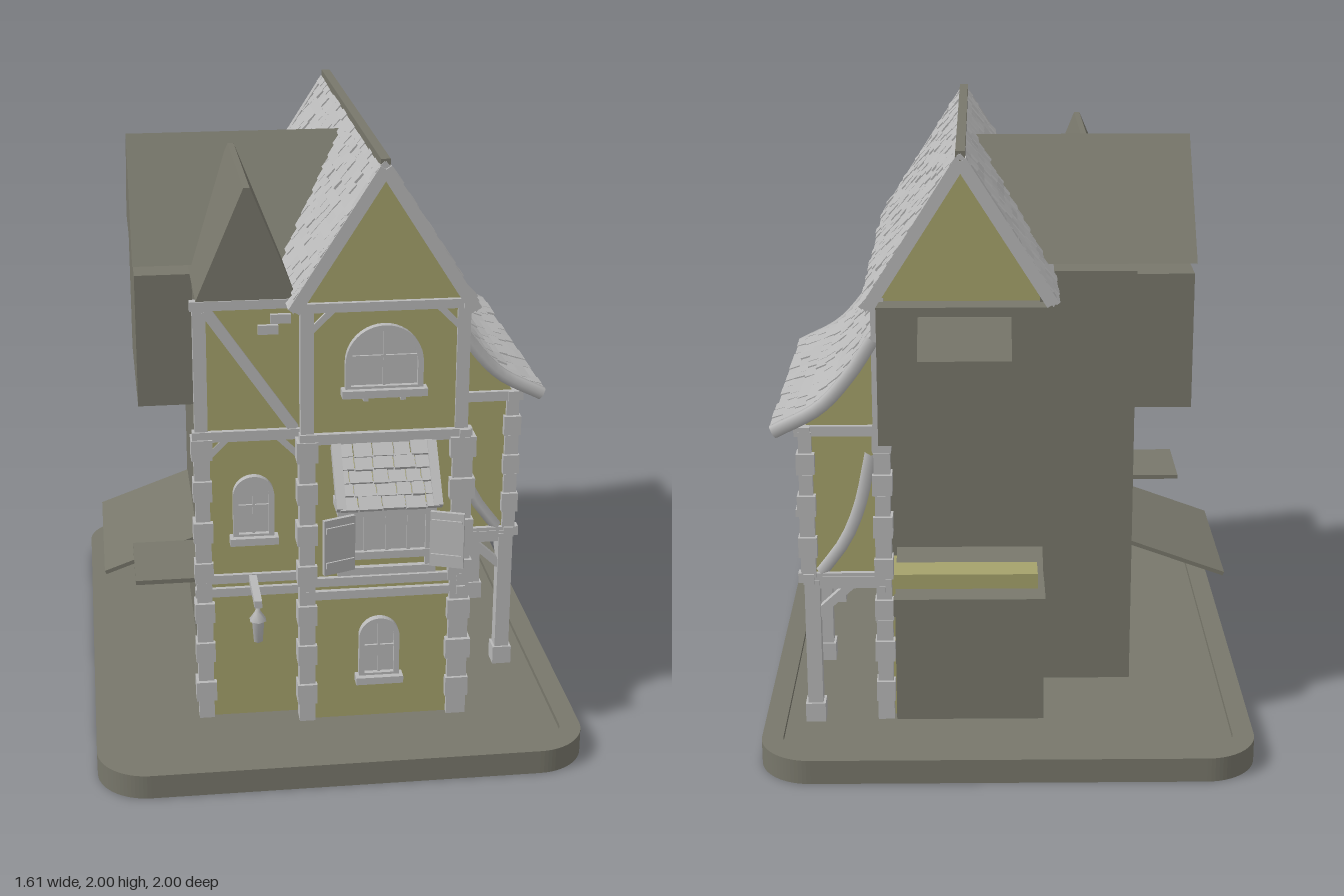
import * as THREE from 'three';
import { mergeGeometries } from 'three/addons/utils/BufferGeometryUtils.js';

export function createModel() {
  const root = new THREE.Group();
  root.name = 'timberHouse';
  const material = (name, color) => {
    const m = new THREE.MeshStandardMaterial({ color });
    m.name = name;
    return m;
  };
  const plaster = material('yellow plaster', 0xa5a26b);
  const trim = material('light grey trim', 0xb8b8b8);
  const dark = material('dark olive grey', 0x78776b);

  let seed = 7;
  const rand = (a = 0, b = 1) => {
    seed = (seed * 16807) % 2147483647;
    return a + (b - a) * (seed / 2147483647);
  };

  const add = (name, geo, mat, parent = root) => {
    const m = new THREE.Mesh(geo, mat);
    m.name = name;
    parent.add(m);
    return m;
  };
  const boxGeo = (x0, x1, y0, y1, z0, z1) =>
    new THREE.BoxGeometry(x1 - x0, y1 - y0, z1 - z0).translate((x0 + x1) / 2, (y0 + y1) / 2, (z0 + z1) / 2);
  const box = (name, mat, ...r) => add(name, boxGeo(...r), mat);
  const polygon = (pts) => new THREE.Shape(pts.map((p) => new THREE.Vector2(...p)));
  const extrude = (shape, depth) => new THREE.ExtrudeGeometry(shape, { depth, bevelEnabled: false, curveSegments: 10 });
  // Section in x,y run along z
  const prismZ = (name, mat, pts, z0, z1) => add(name, extrude(polygon(pts), z1 - z0).translate(0, 0, z0), mat);
  // Section in z,y run along x
  const prismX = (name, mat, pts, x0, x1) =>
    add(name, extrude(polygon(pts), x1 - x0).rotateY(-Math.PI / 2).translate(x1, 0, 0), mat);
  // Square timber between two points
  const beam = (name, a, b, w = 0.035, mat = trim) => {
    const A = new THREE.Vector3(...a), B = new THREE.Vector3(...b);
    const m = add(name, new THREE.BoxGeometry(w, w, A.distanceTo(B)), mat);
    m.position.copy(A).add(B).multiplyScalar(0.5);
    m.lookAt(B);
    return m;
  };
  // Corner of uneven stacked stones
  const quoins = (name, x, z, y0, y1, w = 0.055) => {
    const parts = [], n = Math.round((y1 - y0) / 0.075), h = (y1 - y0) / n;
    for (let i = 0; i < n; i++) {
      const a = (w + (i % 2 ? 0.01 : -0.004) + rand(-0.004, 0.004)) / 2;
      parts.push(boxGeo(x - a, x + a, y0 + i * h, y0 + (i + 0.96) * h, z - a, z + a));
    }
    add(name, mergeGeometries(parts), trim);
  };
  // Rows of uneven shingles along z, following a descending x,y path
  const shingles = (points, rows, z0, z1, tile) => {
    const path = new THREE.SplineCurve(points.map((p) => new THREE.Vector2(...p)));
    const parts = [], len = path.getLength() / rows;
    for (let r = 0; r < rows; r++) {
      const p = path.getPointAt((r + 0.5) / rows), t = path.getTangentAt((r + 0.5) / rows);
      const side = Math.sign(t.x);
      for (let z = z0; z < z1 - 0.005;) {
        let e = Math.min(z + tile * rand(0.7, 1.3), z1);
        if (z1 - e < tile * 0.3) e = z1;
        const lift = rand(-0.003, 0.004);
        parts.push(new THREE.BoxGeometry(len * rand(1.1, 1.3), 0.014, e - z - 0.004)
          .rotateZ(Math.atan2(t.y, t.x) + side * rand(0.1, 0.2))
          .translate(p.x - t.y * side * lift, p.y + t.x * side * lift, (z + e) / 2));
        z = e;
      }
    }
    return mergeGeometries(parts);
  };

  // Base plate with raised rim
  const rounded = (x, z, r, P) => {
    const s = new P();
    s.moveTo(x, -z + r);
    [[x - r, z - r, 0], [-x + r, z - r, 1], [-x + r, -z + r, 2], [x - r, -z + r, 3]].forEach(([cx, cy, q]) =>
      s.absarc(cx, cy, r, q * Math.PI / 2, (q + 1) * Math.PI / 2));
    return s;
  };
  add('basePlate', extrude(rounded(0.805, 1, 0.17, THREE.Shape), 0.065).rotateX(-Math.PI / 2), dark);
  const rim = rounded(0.805, 1, 0.17, THREE.Shape);
  rim.holes.push(rounded(0.735, 0.93, 0.1, THREE.Path));
  add('baseRim', extrude(rim, 0.02).rotateX(-Math.PI / 2).translate(0, 0.062, 0), dark);

  // Plaster walls of the main block and front bay
  box('groundFloorWall', plaster, -0.1, 0.42, 0.06, 0.57, -0.64, 0.67);
  box('middleFloorWall', plaster, -0.1, 0.42, 0.57, 1.07, -0.45, 0.67);
  box('upperFloorWall', plaster, -0.1, 0.42, 1.07, 1.53, -0.68, 0.67);
  prismZ('gableWall', plaster, [[-0.1, 1.53], [0.42, 1.53], [0.145, 1.96]], -0.72, 0.67);
  box('bayFrontWall', plaster, -0.43, -0.1, 0.06, 1.53, 0.58, 0.61);
  prismZ('sideRoomWall', plaster,
    [[0.41, 0.57], [0.655, 0.57], [0.655, 1.09], [0.59, 1.15], [0.5, 1.26], [0.42, 1.38]], -0.66, 0.335);

  // Plain dark masses at the left and back
  box('bayCore', dark, -0.43, -0.11, 0.06, 1.53, -0.37, 0.58);
  box('leftUpperRoom', dark, -0.62, -0.11, 1.06, 1.52, -0.37, 0.25);
  box('upperLeftWall', dark, -0.12, -0.1, 1.06, 1.53, -0.7, -0.3);
  box('upperBackRoom', dark, -0.12, 0.41, 1.06, 1.51, -0.765, -0.67);
  box('middleBackWall', dark, -0.12, 0.41, 0.5, 1.06, -0.47, -0.44);
  box('lowerLeftWall', dark, -0.12, -0.1, 0.06, 1.06, -0.47, -0.3);
  prismX('backShed', dark, [[-0.68, 0.06], [-0.4, 0.06], [-0.4, 0.62], [-0.47, 0.6], [-0.68, 0.5]], -0.12, 0.37);
  box('shedLid', dark, -0.125, 0.375, 0.44, 0.5, -0.685, -0.5);
  prismX('backOriel', dark, [[-0.88, 1.13], [-0.7, 1.13], [-0.7, 1.48], [-0.77, 1.48], [-0.88, 1.37]], -0.01, 0.28);
  prismX('leftRoof', dark, [[-0.395, 1.56], [0.28, 1.56], [-0.05, 1.93]], -0.625, 0.1);
  prismZ('bayRoof', dark, [[-0.44, 1.54], [-0.12, 1.54], [-0.265, 1.9], [-0.285, 1.9]], 0, 0.62);
  box('flatAwning', dark, -0.655, -0.42, 0.563, 0.578, 0.3, 0.6);
  prismZ('slopedAwning', dark, [[-0.75, 0.44], [-0.42, 0.56], [-0.42, 0.575], [-0.755, 0.453]], -0.35, 0.25);

  // Main roof: boards, shingles, barge boards
  [[0.45, 1.51, 'right'], [-0.15, 1.525, 'left']].forEach(([x, y, side]) => {
    const line = [[0.145, 1.982], [x, y]];
    const board = side === 'right'
      ? [[0.145, 1.95], [x - 0.01, y - 0.015], [x, y], [0.145, 1.98]]
      : [[0.145, 1.98], [x, y], [x + 0.01, y - 0.015], [0.145, 1.95]];
    prismZ(side + 'RoofBoards', trim, board, -0.765, 0.69);
    add(side + 'RoofShingles', shingles(line, 14, -0.77, 0.695, 0.085), trim);
    for (const z of [0.68, -0.75]) beam('bargeBoard', [0.145, 1.965, z], [x - Math.sign(x) * 0.012, y - 0.005, z], 0.04);
  });
  box('ridgeStrip', dark, 0.13, 0.16, 1.96, 1.996, -0.765, 0.69);

  // Curved lean-to roof
  const sweep = [[0.425, 1.4], [0.5, 1.285], [0.6, 1.175], [0.75, 1.095]];
  add('leanToShingles', shingles(sweep, 11, -0.68, 0.34, 0.085), trim);
  const curve = new THREE.CatmullRomCurve3(sweep.map(([x, y]) => new THREE.Vector3(x, y - 0.012, 0)));
  for (const z of [-0.685, 0.345])
    add('leanToEdge', new THREE.TubeGeometry(curve, 12, 0.024, 6), trim).position.z = z;
  const lower = sweep.map(([x, y]) => [x, y - 0.022]).reverse();
  prismZ('leanToBoards', trim, [...sweep.map(([x, y]) => [x, y - 0.005]), ...lower].reverse(), -0.68, 0.34);

  // Stone corners and timber posts
  quoins('bayCorner', -0.43, 0.6, 0.06, 1.08);
  quoins('frontLeftPier', -0.095, 0.66, 0.06, 1.08);
  quoins('frontRightPier', 0.41, 0.66, 0.06, 1.08, 0.07);
  quoins('groundSidePier', 0.415, 0.35, 0.06, 0.55);
  quoins('groundBackPier', 0.405, -0.65, 0.06, 1.08);
  for (const z of [0.33, -0.66]) quoins('sideRoomCorner', 0.65, z, 0.58, 1.08, 0.05);
  for (const [x, z] of [[-0.43, 0.6], [-0.095, 0.66], [0.405, 0.66], [0.41, 0.35], [0.41, -0.67]])
    beam('upperPost', [x, 1.08, z], [x, 1.53, z], 0.042);
  beam('shortPost', [0.41, 1.38, -0.29], [0.41, 1.53, -0.29]);
  for (const z of [0.03, -0.27]) beam('sideRoomPost', [0.645, 0.58, z], [0.645, 1.08, z], 0.045);
  for (const z of [0.1, -0.38]) beam('groundPost', [0.41, 0.06, z], [0.41, 0.5, z]);

  // Arcade posts with knee braces
  for (const z of [0.335, -0.185, -0.66]) {
    beam('arcadePost', [0.64, 0.06, z], [0.64, 0.57, z], 0.05);
    box('postFoot', trim, 0.607, 0.673, 0.06, 0.13, z - 0.033, z + 0.033);
    for (const s of [1, -1]) {
      if (Math.abs(z + s * 0.16) > 0.6 || (s > 0 && z > 0)) continue;
      beam('kneeBrace', [0.64, 0.42, z + s * 0.02], [0.64, 0.56, z + s * 0.15], 0.03);
    }
    beam('floorJoist', [0.42, 0.56, z], [0.66, 0.56, z], 0.04);
    beam('crossBrace', [0.63, 0.44, z], [0.5, 0.56, z], 0.028);
  }

  // Horizontal rails on every storey
  for (const [y, w] of [[0.53, 0.03], [0.578, 0.03], [1.085, 0.035], [1.525, 0.03]]) {
    beam('bayRail', [-0.46, y, 0.61], [-0.1, y, 0.61], w);
    beam('frontRail', [-0.12, y, 0.672], [0.44, y, 0.672], w);
    beam('sideRail', [0.415, y, 0.7], [0.415, y, -0.68], w);
  }
  for (const y of [0.575, 1.08]) {
    beam('sideRoomRail', [0.65, y, 0.36], [0.65, y, -0.69], 0.035);
    for (const z of [0.335, -0.66]) beam('sideRoomEndRail', [0.42, y, z], [0.685, y, z], 0.034);
  }
  beam('sideSill', [0.41, 0.085, 0.68], [0.41, 0.085, -0.66], 0.03);

  // Diagonal and curved braces
  beam('bayBrace', [-0.41, 1.51, 0.605], [-0.13, 1.1, 0.605]);
  beam('sideBrace', [0.412, 1.1, 0.63], [0.412, 1.51, 0.37]);
  for (const [x, y, s] of [[-0.08, 1.52, 1], [0.39, 1.52, -1]])
    beam('frontKnee', [x, y - 0.07, 0.67], [x + s * 0.07, y, 0.67], 0.02);
  beam('bayKnee', [-0.41, 1.01, 0.605], [-0.35, 1.07, 0.605], 0.02);
  beam('bayKnee', [-0.12, 1.01, 0.605], [-0.18, 1.07, 0.605], 0.02);
  for (const z of [0.335, -0.66]) {
    const c = new THREE.CatmullRomCurve3([[0.44, 1.0], [0.48, 0.82], [0.53, 0.7], [0.61, 0.59]]
      .map(([x, y]) => new THREE.Vector3(x, y, z)));
    add('curvedBrace', new THREE.TubeGeometry(c, 8, 0.02, 4), trim);
  }

  // Arched windows, origin at the sill
  const arch = (P, w, h, y0 = 0) => {
    const s = new P();
    s.moveTo(-w / 2, y0);
    s.lineTo(w / 2, y0);
    s.lineTo(w / 2, h - w / 2);
    s.absarc(0, h - w / 2, w / 2, 0, Math.PI);
    s.lineTo(-w / 2, y0);
    return s;
  };
  const archWindow = (name, w, h, x, y, z, turn = 0) => {
    const g = new THREE.Group(), frame = arch(THREE.Shape, w, h), f = 0.018;
    g.name = name;
    frame.holes.push(arch(THREE.Path, w - 2 * f, h - f, f));
    add('frame', extrude(frame, 0.035).translate(0, 0, -0.01), trim, g);
    add('pane', extrude(arch(THREE.Shape, w - f, h - f), 0.008), trim, g);
    add('mullion', boxGeo(-0.004, 0.004, 0, h - f, 0, 0.016), trim, g);
    add('transom', boxGeo(-w / 2 + f, w / 2 - f, h * 0.5, h * 0.5 + 0.008, 0, 0.016), trim, g);
    add('sill', boxGeo(-w / 2 - 0.012, w / 2 + 0.012, -0.015, 0.01, -0.01, 0.045), trim, g);
    g.position.set(x, y, z);
    g.rotation.y = turn;
    root.add(g);
  };
  archWindow('groundWindow', 0.135, 0.22, 0.145, 0.22, 0.67);
  archWindow('bayWindow', 0.135, 0.22, -0.265, 0.725, 0.61);
  archWindow('upperWindow', 0.25, 0.22, 0.15, 1.245, 0.67);
  archWindow('sideWindow', 0.135, 0.21, 0.655, 0.755, -0.47, Math.PI / 2);
  for (const x of [0.09, 0.21]) box('sillBracket', trim, x - 0.008, x + 0.008, 1.215, 1.235, 0.67, 0.7);

  // Projecting window with shingled hood and shutters
  prismX('orielBody', plaster, [[0.66, 0.66], [0.775, 0.66], [0.775, 0.89], [0.66, 1.03]], 0.01, 0.29);
  for (const y of [0.665, 0.72, 0.87]) box('orielRail', trim, -0.01, 0.31, y - 0.013, y + 0.013, 0.67, 0.795);
  for (const x of [0.01, 0.29]) {
    box('orielPost', trim, x - 0.015, x + 0.015, 0.65, 0.89, 0.755, 0.79);
    beam('hoodEdge', [x + (x > 0.1 ? 0.015 : -0.015), 1.065, 0.69], [x + (x > 0.1 ? 0.015 : -0.015), 0.9, 0.835], 0.03);
  }
  box('orielPane', trim, 0.02, 0.28, 0.72, 0.87, 0.772, 0.779);
  for (const x of [0.08, 0.15, 0.22]) box('orielMullion', trim, x - 0.005, x + 0.005, 0.72, 0.87, 0.775, 0.787);
  add('hoodShingles', shingles([[0.685, 1.065], [0.835, 0.9]], 5, -0.31, 0.01, 0.06).rotateY(-Math.PI / 2), trim);
  for (const s of [-1, 1]) {
    const shutter = add('shutter', boxGeo(-0.055, 0.055, -0.095, 0.095, -0.007, 0.007), trim);
    shutter.position.set(0.165 + s * 0.175, 0.775, 0.82);
    shutter.rotation.y = -s * 0.35;
    for (const y of [-0.06, 0.06]) add('shutterBatten', boxGeo(-0.05, 0.05, y - 0.01, y + 0.01, 0, 0.013), trim, shutter);
  }

  // Hanging lantern on a bracket
  beam('lanternArm', [-0.27, 0.578, 0.61], [-0.27, 0.578, 0.82], 0.025);
  const lantern = [[0, 0.43], [0.016, 0.44], [0.022, 0.51], [0.03, 0.515], [0.01, 0.545], [0.005, 0.57], [0, 0.57]];
  add('lantern', new THREE.LatheGeometry(lantern.map((p) => new THREE.Vector2(...p)), 6), trim).position.set(-0.27, 0, 0.8);

  // Exposed bricks and worn plaster
  for (const [x, y] of [[-0.21, 1.44], [-0.17, 1.475]]) box('frontBrick', trim, x - 0.035, x + 0.03, y - 0.015, y + 0.015, 0.6, 0.625);
  for (const [z, y, h] of [[0.45, 1.155, 0.045], [0.54, 0.945, 0.028], [0.46, 0.67, 0.028], [-0.31, 0.455, 0.03], [-0.33, 0.418, 0.03]])
    box('sideBrick', trim, 0.41, 0.433, y - h / 2, y + h / 2, z - 0.035, z + 0.035);
  prismX('wornPlasterLow', trim, [[0.52, 0.08], [0.36, 0.08], [0.36, 0.25], [0.42, 0.21], [0.45, 0.14]].reverse(), 0.416, 0.424);
  prismX('wornPlasterHigh', trim, [[0.31, 0.59], [0.22, 0.59], [0.25, 0.68], [0.31, 0.78]], 0.651, 0.659);
  return root;
}
